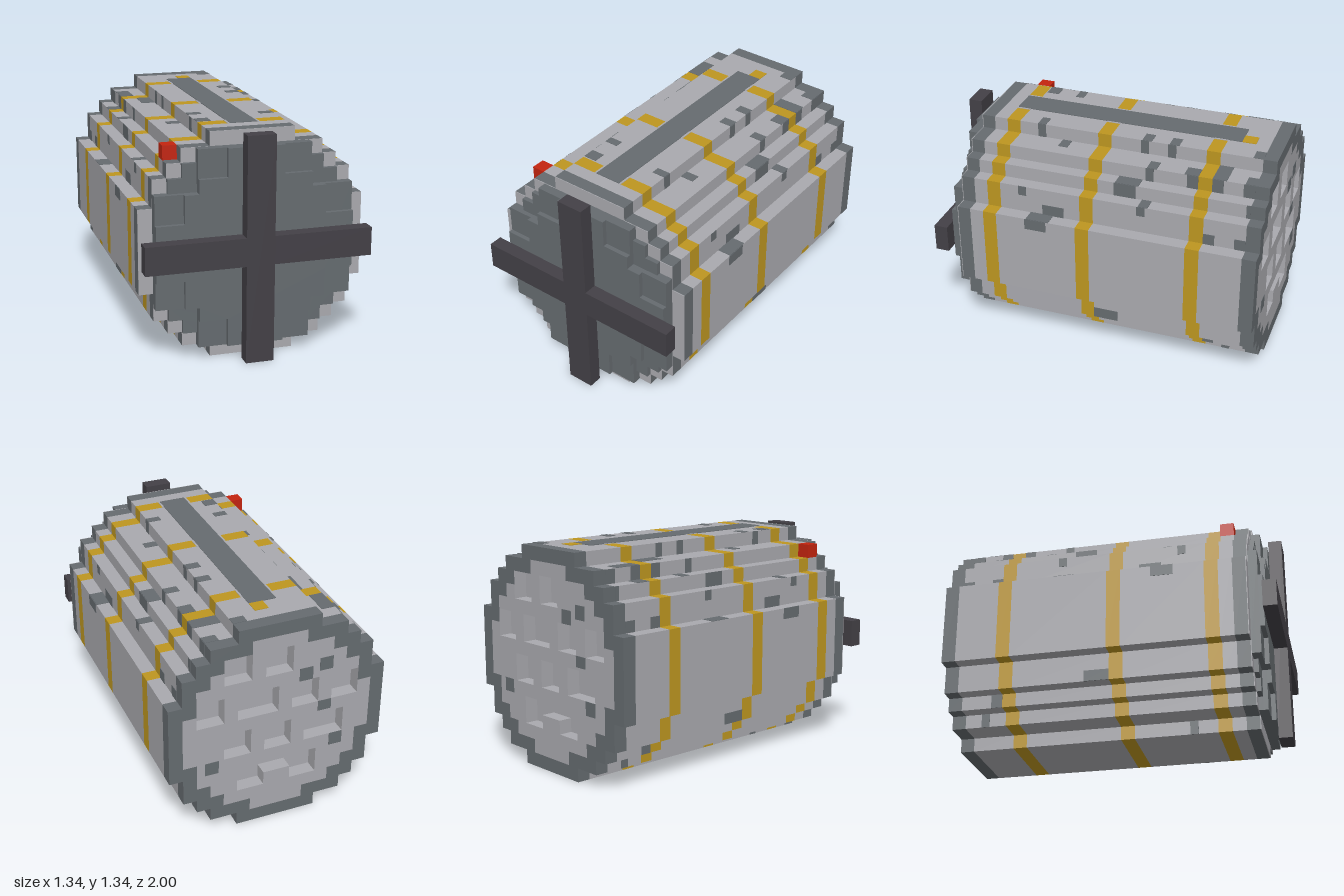
import * as THREE from 'three';

const U = 1 / 12; // one block
const mat = (name, color) => Object.assign(new THREE.MeshStandardMaterial({ color }), { name });

// Stepped outlines: [half width, half height] of each step about the axis
const BODY = [[3, 8], [5, 7], [6, 6], [7, 5], [8, 3]];
const RIM_INNER = [[2, 7], [4, 6], [5, 5], [6, 4], [7, 2]];
const CAP_LOW = [[4, 7], [5, 6], [6, 5], [7, 4]];
const CAP_MID = [[4, 7], [7, 4]];
const CAP_TOP = [[2, 7], [4, 5], [5, 4], [7, 2]];

function outline(steps) {
  const q = [];
  steps.forEach(([w, h], i) => {
    q.push([w, h]);
    if (i < steps.length - 1) q.push([w, steps[i + 1][1]]);
  });
  const flip = (sx, sy, rev) => {
    const p = q.map(([x, y]) => [x * sx, y * sy]);
    return rev ? p.reverse() : p;
  };
  return [...flip(1, 1), ...flip(1, -1, true), ...flip(-1, -1), ...flip(-1, 1, true)]
    .map(([x, y]) => new THREE.Vector2(x * U, (y + 8) * U));
}

export function createModel() {
  const root = new THREE.Group();
  root.name = 'capsule';
  const light = mat('light grey metal', 0xa9a9ae);
  const dark = mat('dark grey metal', 0x656b6f);
  const black = mat('charcoal', 0x434046);
  const gold = mat('gold', 0xbd9620);
  const red = mat('red', 0xc3240f);

  const add = (name, geo, m, parent = root) => {
    const mesh = new THREE.Mesh(geo, m);
    mesh.name = name;
    parent.add(mesh);
    return mesh;
  };
  // Box by block limits
  const box = (name, m, x0, x1, y0, y1, z0, z1, parent) => {
    const b = add(name, new THREE.BoxGeometry((x1 - x0) * U, (y1 - y0) * U, (z1 - z0) * U), m, parent);
    b.position.set((x0 + x1) / 2 * U, (y0 + y1) / 2 * U, (z0 + z1) / 2 * U);
  };
  // Stepped disc between two z limits, with optional holes
  const slice = (name, m, steps, z0, z1, holes = []) => {
    const s = new THREE.Shape(outline(steps));
    s.holes = holes.map((h) => new THREE.Path(h));
    const g = new THREE.ExtrudeGeometry(s, { depth: (z1 - z0) * U, bevelEnabled: false });
    add(name, g.translate(0, 0, z0 * U), m);
  };

  // Hull sections and gold bands
  [[-11, -8], [-7, 0], [1, 7], [8, 9]].forEach(([a, b]) => slice('hull', light, BODY, a, b));
  [-8, 0, 7].forEach((z) => slice('goldBand', gold, BODY, z, z + 1));

  // Front collar and layered cap
  slice('frontCollar', dark, BODY, 9, 9.95);
  slice('collarFace', light, BODY, 9.95, 10);
  slice('capBase', dark, CAP_LOW, 10, 10.33);
  slice('capMiddle', dark, CAP_MID, 10, 10.67);
  slice('capFront', dark, CAP_TOP, 10, 11);

  // Cross brace on the front
  box('crossUpright', black, -1, 1, 0, 16, 11, 12);
  [-1, 1].forEach((s) => box('crossArm', black, s > 0 ? 1 : -8, s > 0 ? 8 : -1, 7, 9, 11, 12));

  // Rear rim and perforated rear panel
  slice('rearRim', dark, BODY, -12, -11, [outline(RIM_INNER)]);
  const windows = [
    [2, 4, 12, 14], [-1, 1, 12, 14],
    [4, 6, 9, 11], [0, 3, 9, 11], [-3, -1, 9, 11], [-6, -4, 9, 11],
    [2, 4, 6, 8], [-1, 1, 6, 8], [-5, -2, 6, 8],
    [-3, 3, 3, 5],
  ].map(([a, b, c, d]) => [[a, c], [b, c], [b, d], [a, d]].map(([x, y]) => new THREE.Vector2(x * U, y * U)));
  slice('rearPanel', light, RIM_INNER, -12, -11, windows);
  box('rearSill', light, -1, 1, 3, 4, -12, -11);
  // Worn patches on the rear panel
  [[-2.5, -1.5, 11, 12], [-4, -3, 8.2, 9], [-5, -4, 5, 6], [4.4, 5.4, 5, 6], [-4, -3, 11.5, 12.5]]
    .forEach(([a, b, c, d]) => box('rearWear', dark, a, b, c, d, -12.03, -12));

  // Inlay along the top, its gold dot and the red lamp
  box('topInlay', dark, -1, 1, 16, 16.04, -9, 8);
  box('goldDot', gold, 0, 1, 16, 16.04, -10, -9);
  [-8, 0, 7].forEach((z) => [-1.15, 1].forEach((x) =>
    box('bandGap', light, x, x + 0.15, 16, 16.03, z, z + 1)));
  box('redLamp', red, -6, -5, 14, 15, 8, 9);

  // Worn patches on the upper steps: x, z, width, length
  const wear = new THREE.Group();
  wear.name = 'wornPatches';
  root.add(wear);
  [[-5, -10, 1, 2], [-6, -9, 1, 1], [2, -11, 1, 0.7], [4, -11, 1, 0.7], [3, -9, 2, 1], [4, -7, 1, 1],
    [-4, -7, 1, 2], [-6, -5, 1, 0.7], [2, -5, 1, 0.7], [-8, -4, 1, 1.6], [4, -4, 1, 0.7], [6, -4, 1, 0.7],
    [2, -3, 1, 0.7], [5, -3, 1, 1.7], [-4, 2, 1, 0.7], [3, 3, 1, 0.7], [7, 3, 1, 1.7], [-7, 4, 1, 0.6],
    [-3, 4, 1, 0.6], [2, 5, 1, 0.6], [-3, 6, 1, 0.9]].forEach(([x, z, w, l]) => {
    const top = 8 + BODY.find((s) => s[0] > Math.abs(x + w / 2))[1];
    box('topWear', dark, x, x + w, top, top + 0.03, z, z + l, wear);
  });

  // Worn patches on the flanks: z, y, length, height
  [[5, 15, 0.6, 1], [5, 12.3, 0.6, 0.7], [2.2, 11, 1.6, 0.8], [3.2, 10.2, 1.6, 0.8], [-2.8, 13, 1.6, 1],
    [-2.8, 15, 0.6, 1], [-3.8, 14, 0.6, 1], [-3.8, 12.3, 0.6, 0.7], [-4.8, 15, 0.6, 1], [-7, 14, 0.8, 1],
    [-8.8, 14, 0.8, 1], [-8.8, 11, 0.8, 0.8], [-1.8, 3, 1.8, 0.8], [5, 0, 0.6, 1], [-8.8, 2, 0.8, 1],
    [-9.8, 1, 0.6, 1], [-11, 14, 0.8, 1], [-11, 11, 0.8, 0.8], [-11, 12, 0.3, 2]].forEach(([z, y, l, h]) => {
    const dy = Math.abs(y + h / 2 - 8);
    const w = [...BODY].reverse().find((s) => s[1] > dy)[0];
    [1, -1].forEach((s) =>
      box('sideWear', dark, s * w - 0.03, s * w + 0.03, y, y + h, z, z + l, wear));
  });
  return root;
}
